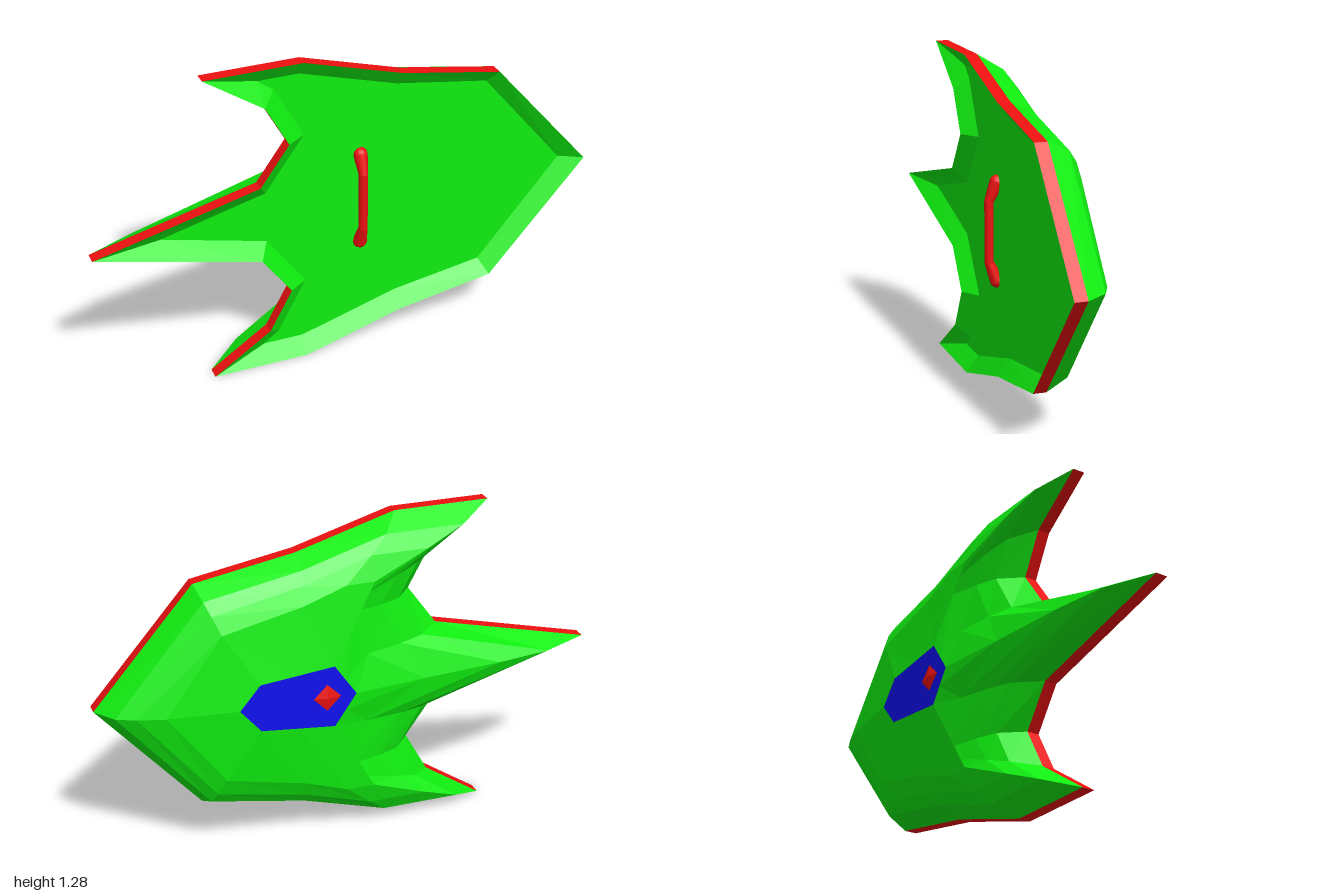
import * as THREE from 'three';

const MID = 0.64; // height of the mirror line

const paint = (color) => new THREE.MeshStandardMaterial({ color, flatShading: true });

// Mirrors half an outline (from the front point, over the top, to the tail) into a closed loop
const mirrorLoop = (half) => [...half, ...half.slice(1, -1).reverse().map(([x, y]) => [x, -y])];

const ring = (loop, z) => loop.map(([x, y]) => new THREE.Vector3(x, y + MID, z));

const blend = (a, b, t) => a.map((p, i) => [p[0] + (b[i][0] - p[0]) * t, p[1] + (b[i][1] - p[1]) * t]);

// Faceted skin through successive rings, skipping collapsed triangles
function loft(rings) {
  const points = [];
  const tri = (a, b, c) => {
    if (new THREE.Triangle(a, b, c).getArea() > 1e-7) points.push(a, b, c);
  };
  for (let r = 0; r < rings.length - 1; r++) {
    const a = rings[r], b = rings[r + 1], n = a.length;
    for (let i = 0; i < n; i++) {
      const j = (i + 1) % n;
      tri(a[i], b[i], b[j]);
      tri(a[i], b[j], a[j]);
    }
  }
  const geometry = new THREE.BufferGeometry().setFromPoints(points);
  geometry.computeVertexNormals();
  return geometry;
}

export function createModel() {
  const group = new THREE.Group();
  const green = paint(0x10ee10), red = paint(0xee1010), blue = paint(0x1010ee);
  const add = (name, geometry, material, parent = group) => {
    const mesh = new THREE.Mesh(geometry, material);
    mesh.name = name;
    parent.add(mesh);
    return mesh;
  };

  // Matching loops: outer edge, inner floor, dome shoulder and central plate
  const edge = mirrorLoop([[1, 0], [0.605, 0.455], [0.21, 0.525], [-0.18, 0.64], [-0.56, 0.64],
    [-0.33, 0.485], [-0.24, 0.32], [-0.355, 0.16], [-1, 0]]);
  const floor = mirrorLoop([[0.91, 0], [0.575, 0.4], [0.205, 0.46], [-0.18, 0.575], [-0.34, 0.575],
    [-0.28, 0.53], [-0.165, 0.32], [-0.32, 0.105], [-0.73, 0]]);
  const shoulder = mirrorLoop([[0.76, 0], [0.54, 0.3], [0.23, 0.37], [0.06, 0.43], [-0.05, 0.43],
    [0, 0.38], [0.04, 0.32], [-0.02, 0.14], [-0.26, 0]]);
  const plate = mirrorLoop([[0.49, 0], [0.41, 0.095], [0.265, 0.11], [0.12, 0.125], [0.12, 0.125],
    [0.12, 0.125], [0.12, 0.125], [0.077, 0.0625], [0.034, 0]]);

  add('rimEdge', loft([ring(edge, 0.12), ring(edge, 0.07)]), red);
  add('domedBack', loft([
    ring(edge, 0.07),
    ring(blend(edge, shoulder, 0.26), -0.016),
    ring(blend(edge, shoulder, 0.56), -0.05),
    ring(shoulder, -0.08),
    ring(plate, -0.112),
  ]), green);
  add('innerBevel', loft([ring(floor, 0.07), ring(edge, 0.12)]), green);

  // Flat inside surface
  const floorShape = new THREE.Shape(floor.map(([x, y]) => new THREE.Vector2(x, y + MID)));
  add('innerFloor', new THREE.ShapeGeometry(floorShape).translate(0, 0, 0.07), green);

  // Plate and small four-sided stud on the back
  add('backPlate', loft([ring(plate, -0.112), ring(plate.map(() => [0.26, 0]), -0.112)]), blue);
  const stud = add('backStud', new THREE.ConeGeometry(0.06, 0.01, 4).rotateX(-Math.PI / 2), red);
  stud.position.set(0.15, MID, -0.116);

  // Grip with flared, bent ends
  const handle = new THREE.Group();
  handle.name = 'handle';
  handle.position.set(0.06, MID, 0);
  group.add(handle);
  const smoothRed = new THREE.MeshStandardMaterial({ color: 0xee1010 });
  const rod = (name, from, to, r0, r1) => {
    const dir = to.clone().sub(from);
    const mesh = add(name, new THREE.CylinderGeometry(r1, r0, dir.length(), 12), smoothRed, handle);
    mesh.position.copy(from).add(to).multiplyScalar(0.5);
    mesh.quaternion.setFromUnitVectors(new THREE.Vector3(0, 1, 0), dir.normalize());
  };
  const bend = (s) => new THREE.Vector3(0, s * 0.12, 0.103);
  rod('grip', bend(-1), bend(1), 0.018, 0.018);
  for (const s of [-1, 1]) {
    const end = new THREE.Vector3(0, s * 0.192, 0.072);
    rod('gripEnd', bend(s), end, 0.018, 0.028);
    add('gripBend', new THREE.SphereGeometry(0.018, 12, 8), smoothRed, handle).position.copy(bend(s));
    add('gripTip', new THREE.SphereGeometry(0.028, 12, 8), smoothRed, handle).position.copy(end);
  }
  return group;
}
